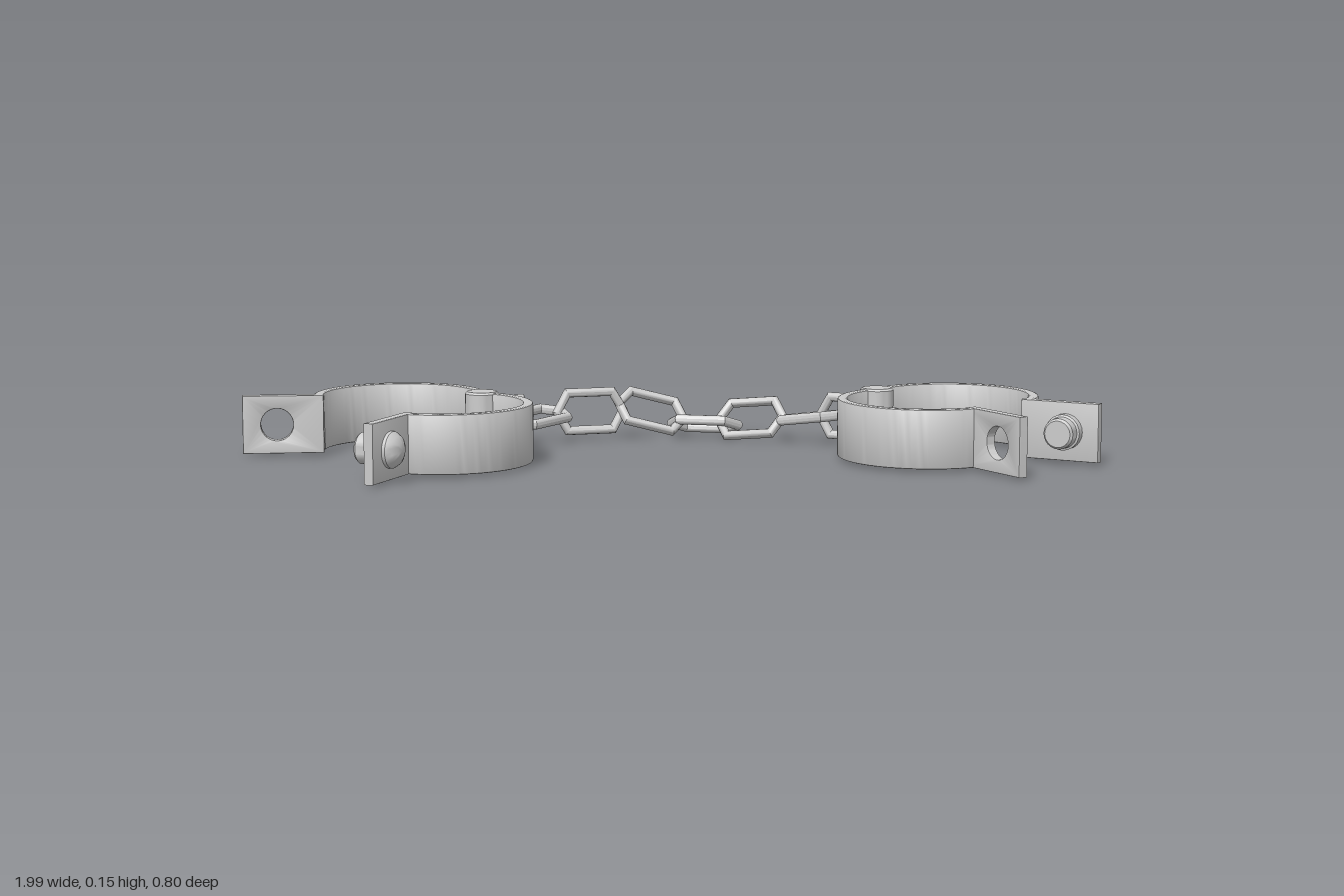
import * as THREE from 'three';
import { toCreasedNormals } from 'three/addons/utils/BufferGeometryUtils.js';

const MID_Y = 0.079, HEIGHT = 0.138, THICK = 0.024, RADIUS = 0.193;
const BOLT_X = 0.484, HOLE_R = 0.041, TAB_END = 0.565;
const material = new THREE.MeshStandardMaterial({ color: 0xcccccc });

function addMesh(parent, name, geometry) {
  const mesh = new THREE.Mesh(toCreasedNormals(geometry, 0.6), material);
  mesh.name = name;
  parent.add(mesh);
  return mesh;
}

// Extrusion with a small bevel that stays inside the outline, centred on its depth
function bevelled(shape, depth, bevel) {
  const g = new THREE.ExtrudeGeometry(shape, {
    depth: depth - 2 * bevel, bevelThickness: bevel, bevelSize: bevel,
    bevelOffset: -bevel, bevelSegments: 2, curveSegments: 32,
  });
  return g.translate(0, 0, bevel - depth / 2);
}

// Half ring with a flat tab; the hinge is the local origin and the tab points along +x
function cuffHalf(hasBolt) {
  const half = new THREE.Group();
  const ring = new THREE.Shape();
  ring.absarc(RADIUS, 0, RADIUS + THICK / 2, 0, Math.PI, false);
  ring.absarc(RADIUS, 0, RADIUS - THICK / 2, Math.PI, 0, true);
  ring.closePath();
  const band = bevelled(ring, HEIGHT, 0.005).rotateX(hasBolt ? -Math.PI / 2 : Math.PI / 2);
  addMesh(half, 'cuffBand', band);

  const tab = new THREE.Shape();
  const x0 = 2 * RADIUS - THICK / 2, h = HEIGHT / 2;
  tab.moveTo(x0, -h);
  tab.lineTo(TAB_END, -h);
  tab.lineTo(TAB_END, h);
  tab.lineTo(x0, h);
  tab.closePath();
  if (!hasBolt) tab.holes.push(new THREE.Path().absarc(BOLT_X, 0, HOLE_R - 0.003, 0, Math.PI * 2, true));
  addMesh(half, 'cuffTab', bevelled(tab, THICK, 0.003));

  if (hasBolt) {
    // Locking stud on the inner face, domed head on the outer face
    const profile = [[0, -0.044], [0.018, -0.041], [0.033, -0.033], [0.042, -0.02], [0.042, 0.032],
      [0.037, 0.034], [0.036, 0.058], [0.031, 0.064], [0, 0.064]];
    const stud = new THREE.LatheGeometry(profile.map(([r, y]) => new THREE.Vector2(r, y)), 24);
    addMesh(half, 'lockingStud', stud.rotateX(Math.PI / 2).translate(BOLT_X, 0, 0));
  }
  return half;
}

// Two halves swinging on one hinge pin; directions are [x, z] of each tab
function cuff(name, x, z, boltDir, holeDir) {
  const group = new THREE.Group();
  group.name = name;
  group.position.set(x, MID_Y, z);
  for (const [dir, hasBolt] of [[boltDir, true], [holeDir, false]]) {
    const half = cuffHalf(hasBolt);
    half.name = hasBolt ? 'boltHalf' : 'holeHalf';
    half.rotation.y = Math.atan2(-dir[1], dir[0]);
    group.add(half);
  }
  const h = 0.0715;
  const pin = [[0, -h], [0.035, -h], [0.04, -h + 0.005], [0.04, h - 0.005], [0.035, h], [0, h]];
  addMesh(group, 'hingePin', new THREE.LatheGeometry(pin.map(([r, y]) => new THREE.Vector2(r, y)), 24));
  return group;
}

// Stretched six-sided link
function linkGeometry() {
  const g = new THREE.TorusGeometry(0.053, 0.0125, 12, 6);
  const p = g.attributes.position;
  for (let i = 0; i < p.count; i++) p.setX(i, p.getX(i) + Math.sign(p.getX(i)) * 0.03);
  return g;
}

export function createModel() {
  const model = new THREE.Group();
  model.name = 'shackles';
  model.add(cuff('rightCuff', -0.435, -0.135, [-0.466, 0.885], [-1, 0.02]));
  model.add(cuff('leftCuff', 0.511, -0.12, [0.841, 0.542], [0.451, 0.893]));

  // Chain: centre, long direction and plane normal of every link
  const chain = new THREE.Group();
  chain.name = 'chain';
  const links = [
    [[-0.385, 0.075, -0.18], [0.78, 0, -0.62], [0.62, 0, 0.78]],
    [[-0.297, 0.07, -0.26], [0.72, 0.05, -0.69], [0.1, 1, 0.1]],
    [[-0.167, 0.075, -0.31], [0.98, 0, -0.19], [0.19, 0.1, 0.98]],
    [[-0.015, 0.07, -0.335], [0.96, -0.25, -0.05], [0.1, 0.7, 0.7]],
    [[0.118, 0.035, -0.342], [0.94, 0, 0.3], [0, 0.93, -0.35]],
    [[0.225, 0.057, -0.28], [0.9, 0.1, 0.42], [-0.3, 0.6, 0.7]],
    [[0.365, 0.065, -0.222], [0.77, 0.15, 0.62], [-0.1, 1, -0.15]],
    [[0.457, 0.075, -0.155], [0.85, 0, 0.5], [-0.5, 0, 0.85]],
  ];
  for (const [centre, along, normal] of links) {
    const link = addMesh(chain, 'chainLink', linkGeometry());
    const x = new THREE.Vector3(...along).normalize();
    const y = new THREE.Vector3(...normal).cross(x).normalize();
    const z = new THREE.Vector3().crossVectors(x, y);
    link.quaternion.setFromRotationMatrix(new THREE.Matrix4().makeBasis(x, y, z));
    link.position.set(...centre);
  }
  model.add(chain);
  return model;
}
